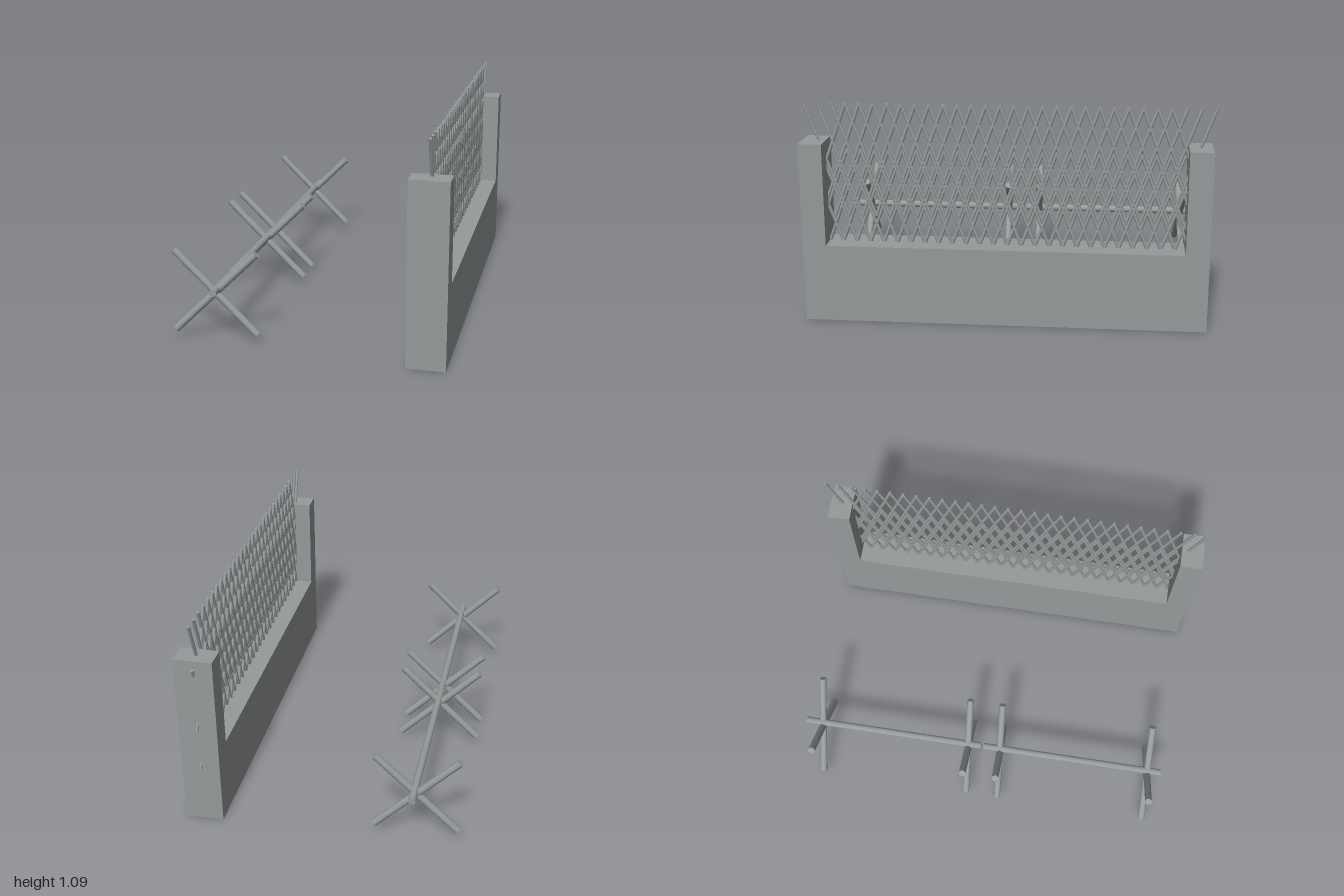
import * as THREE from 'three';

const concreteGrey = new THREE.MeshStandardMaterial({ color: 0x959a9a });
concreteGrey.name = 'concreteGrey';

// Cylinder running between two points
function rod(name, a, b, radius, sides) {
  const from = new THREE.Vector3(...a), to = new THREE.Vector3(...b);
  const dir = to.clone().sub(from);
  const mesh = new THREE.Mesh(new THREE.CylinderGeometry(radius, radius, dir.length(), sides), concreteGrey);
  mesh.name = name;
  mesh.position.copy(from).add(to).multiplyScalar(0.5);
  mesh.quaternion.setFromUnitVectors(new THREE.Vector3(0, 1, 0), dir.normalize());
  return mesh;
}

// Low wall with a raised post at each end, extruded through its thickness
function createWall() {
  const shape = new THREE.Shape([
    [-1.0, 0], [0.98, 0], [0.98, 0.9], [0.865, 0.9],
    [0.865, 0.39], [-0.885, 0.39], [-0.885, 0.9], [-1.0, 0.9],
  ].map(([x, y]) => new THREE.Vector2(x, y)));
  const geometry = new THREE.ExtrudeGeometry(shape, { depth: 0.19, bevelEnabled: false });
  geometry.rotateY(Math.PI / 2);
  const wall = new THREE.Mesh(geometry, concreteGrey);
  wall.name = 'wall';
  wall.position.x = 0.485;
  return wall;
}

// Two overlapping rows of crossed bars
function createLattice() {
  const lattice = new THREE.Group();
  lattice.name = 'lattice';
  const x = 0.58, count = 27, reach = 0.885, lean = 0.1025, height = 0.564;
  for (const top of [1.086, 0.856]) {
    for (let i = 0; i < count; i++) {
      const z = reach - (2 * reach * i) / (count - 1);
      for (const s of [-1, 1]) {
        lattice.add(rod('latticeBar', [x, top - height, z - s * lean], [x, top, z + s * lean], 0.008, 10));
      }
    }
  }
  return lattice;
}

// Long beam carried by two crossed pairs of legs
function createBarricade(z) {
  const barricade = new THREE.Group();
  barricade.name = 'barricade';
  barricade.add(rod('beam', [-0.453, 0.267, -0.485], [-0.453, 0.267, 0.485], 0.0185, 16));
  for (const c of [-0.395, 0.415]) {
    barricade.add(
      rod('risingLeg', [-0.665, 0.045, c + 0.015], [-0.26, 0.45, c - 0.015], 0.018, 16),
      rod('fallingLeg', [-0.665, 0.45, c + 0.006], [-0.26, 0.045, c - 0.006], 0.018, 16),
    );
  }
  barricade.position.z = z;
  return barricade;
}

export function createModel() {
  const model = new THREE.Group();
  model.name = 'fenceAndBarricades';
  model.add(createWall(), createLattice(), createBarricade(-0.505), createBarricade(0.48));
  return model;
}
